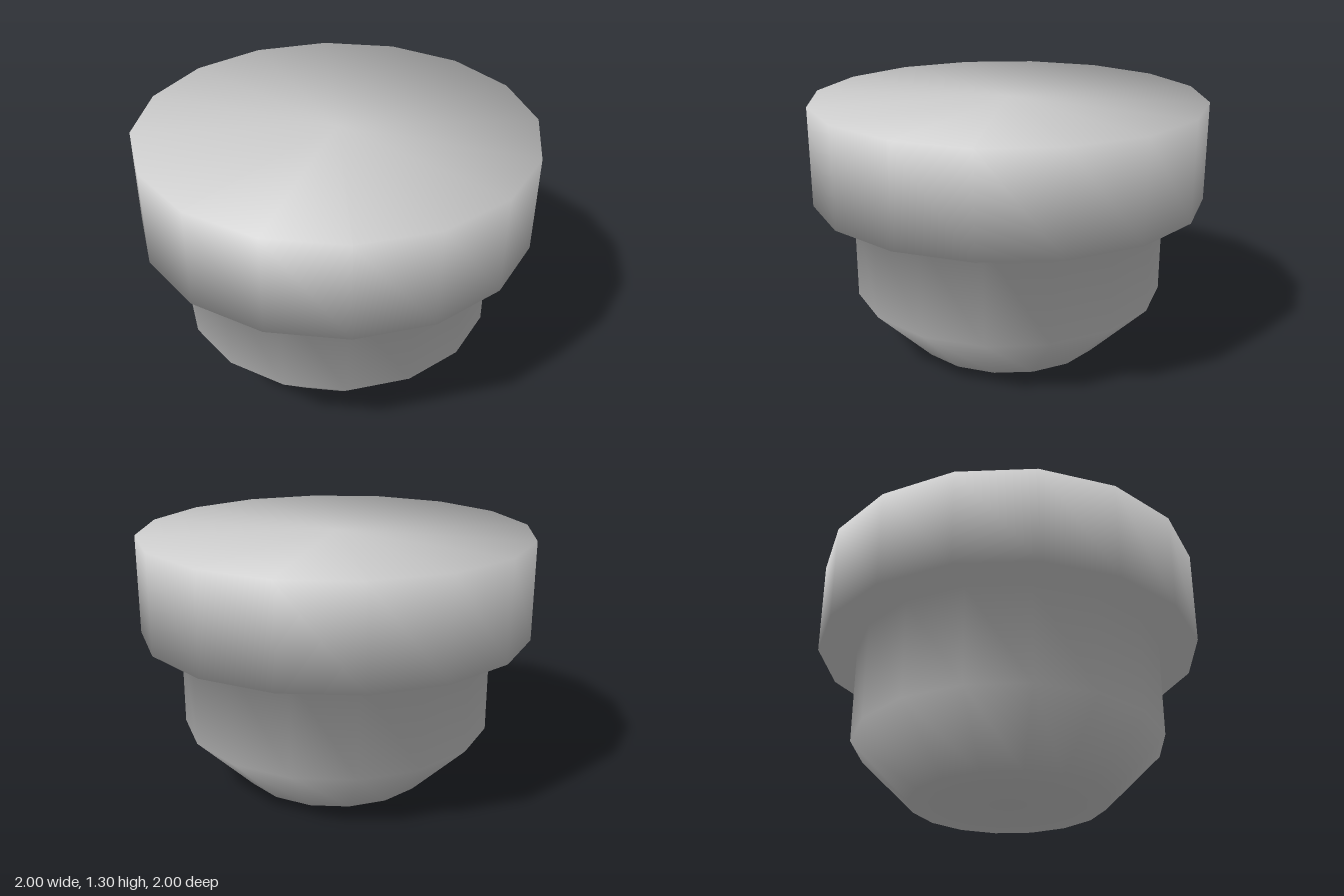
import * as THREE from 'three';

const SIDES = 16;

// Lathe whose normals are the even average of the two neighbouring profile segments
function smoothLathe(profile, sides) {
  const points = profile.map(([r, y]) => new THREE.Vector2(r, y));
  const geometry = new THREE.LatheGeometry(points, sides);
  const segments = points.slice(1).map((p, j) => {
    const d = p.clone().sub(points[j]).normalize();
    return new THREE.Vector2(d.y, -d.x);
  });
  const normals = geometry.attributes.normal;
  for (let i = 0; i <= sides; i++) {
    const phi = (i / sides) * Math.PI * 2;
    points.forEach((p, j) => {
      const n = new THREE.Vector2();
      if (j > 0) n.add(segments[j - 1]);
      if (j < segments.length) n.add(segments[j]);
      n.normalize();
      normals.setXYZ(i * points.length + j, n.x * Math.sin(phi), n.y, n.x * Math.cos(phi));
    });
  }
  return geometry;
}

export function createModel() {
  const group = new THREE.Group();
  group.name = 'steppedPlug';

  const grey = new THREE.MeshStandardMaterial({ color: 0xcccccc });
  grey.name = 'light grey';

  // Chamfered foot, straight stem and wide flat cap in one smooth body
  const profile = [
    [0, 0], [0.5, 0], [0.8, 0.3], [0.8, 0.8], [1, 0.8], [1, 1.3], [0, 1.3],
  ];
  const body = new THREE.Mesh(smoothLathe(profile, SIDES), grey);
  body.name = 'plugBody';
  group.add(body);

  return group;
}
